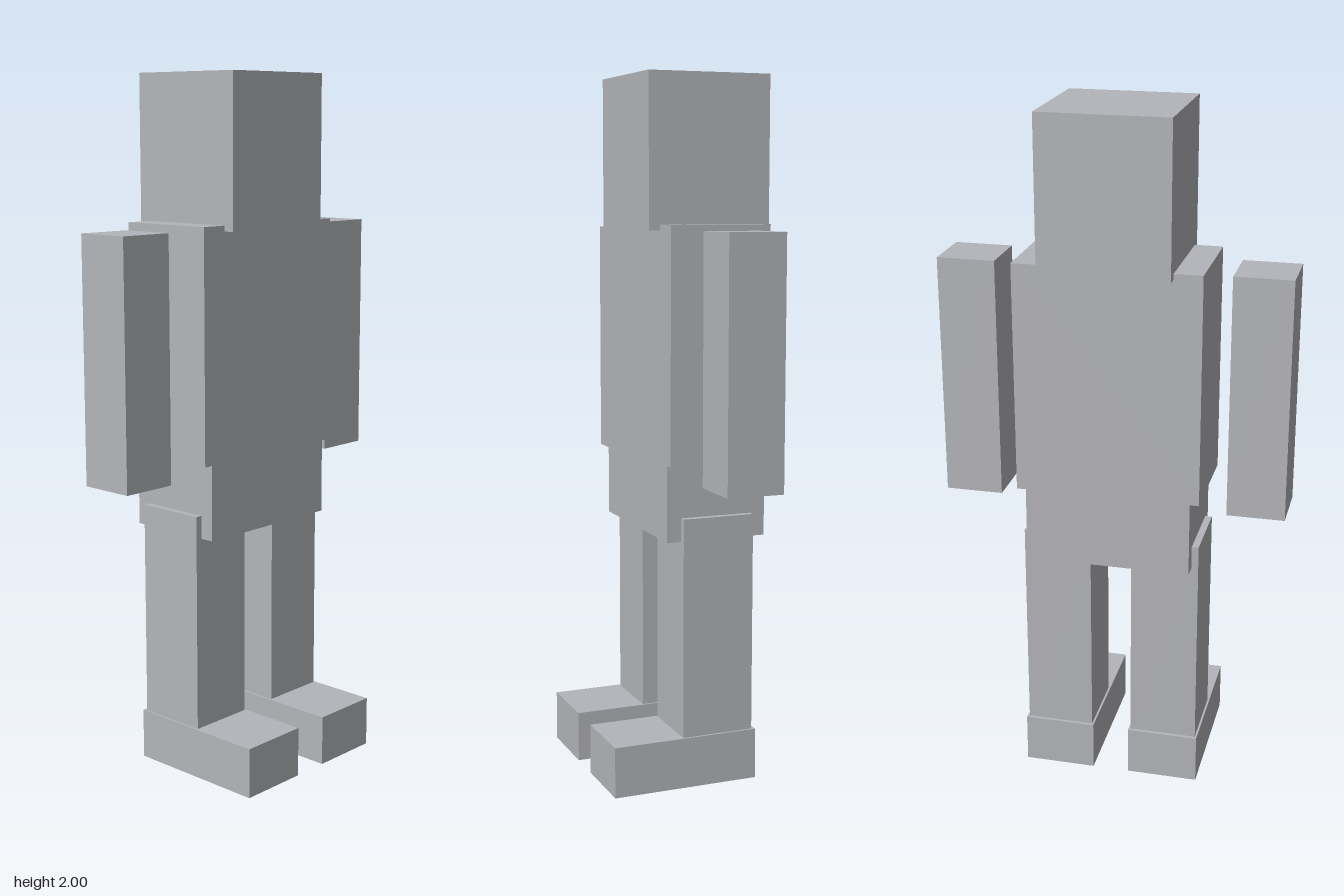
import * as THREE from 'three';

export function createModel() {
  const model = new THREE.Group();
  const grey = new THREE.MeshStandardMaterial({ color: 0xb4b5ba });
  grey.name = 'plain grey';

  // Box given by its limits on each axis
  const box = (name, [x0, x1], [y0, y1], [z0, z1]) => {
    const mesh = new THREE.Mesh(new THREE.BoxGeometry(x1 - x0, y1 - y0, z1 - z0), grey);
    mesh.position.set((x0 + x1) / 2, (y0 + y1) / 2, (z0 + z1) / 2);
    mesh.name = name;
    model.add(mesh);
  };
  // Left part and its mirrored right twin
  const pair = (name, [x0, x1], y, z) => {
    box('left' + name, [x0, x1], y, z);
    box('right' + name, [-x1, -x0], y, z);
  };

  box('head', [-0.183, 0.183], [1.572, 2], [-0.248, 0.114]);

  // Torso and narrower hips in one stepped block
  const outline = new THREE.Shape([
    [-0.237, 0.71], [0.237, 0.71], [0.237, 0.927], [0.263, 0.927],
    [0.263, 1.588], [-0.263, 1.588], [-0.263, 0.927], [-0.237, 0.927],
  ].map(([x, y]) => new THREE.Vector2(x, y)));
  const torso = new THREE.Mesh(
    new THREE.ExtrudeGeometry(outline, { depth: 0.297, bevelEnabled: false }), grey);
  torso.position.z = -0.215;
  torso.name = 'torso';
  model.add(torso);

  // Limbs
  pair('Arm', [0.33, 0.495], [0.877, 1.572], [-0.15, 0.015]);
  pair('Leg', [0.06, 0.257], [0.14, 0.777], [-0.172, 0.04]);
  pair('Foot', [0.054, 0.263], [0, 0.146], [-0.182, 0.248]);

  return model;
}
